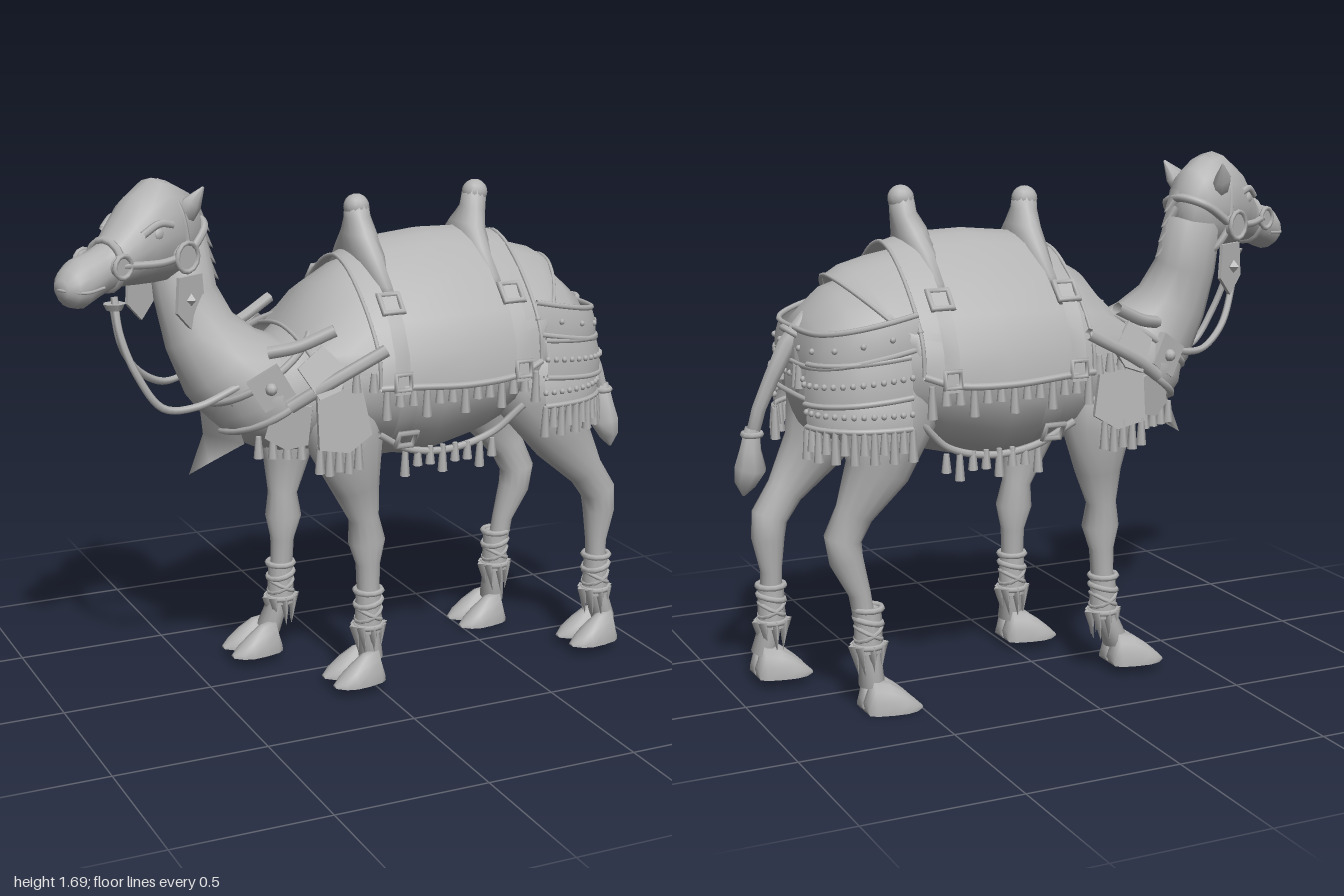
import * as THREE from 'three';

const V = (x, y, z) => new THREE.Vector3(x, y, z);
const SIDES = [1, -1];

export function createModel() {
  const grey = new THREE.MeshStandardMaterial({ color: 0xb3b3b3, side: THREE.DoubleSide });
  grey.name = 'stone grey';
  const root = new THREE.Group();
  root.name = 'saddledCamel';

  const group = (name, parent = root) => {
    const g = new THREE.Group();
    g.name = name;
    parent.add(g);
    return g;
  };
  const add = (name, geo, parent = root, pos = [0, 0, 0], rot = [0, 0, 0]) => {
    const m = new THREE.Mesh(geo, grey);
    m.name = name;
    m.position.set(...pos);
    m.rotation.set(...rot);
    parent.add(m);
    return m;
  };

  // Skin over rows of points; closed rows make a tube with capped ends
  function skin(rows, closed = false) {
    const n = rows[0].length, pts = rows.flat(), idx = [];
    for (let r = 0; r < rows.length - 1; r++)
      for (let i = 0; i < (closed ? n : n - 1); i++) {
        const a = r * n + i, b = r * n + ((i + 1) % n);
        idx.push(a, b, a + n, b, b + n, a + n);
      }
    if (closed) [0, rows.length - 1].forEach(r => {
      const c = pts.length;
      pts.push(rows[r].reduce((s, p) => s.add(p), V(0, 0, 0)).divideScalar(n));
      for (let i = 0; i < n; i++) {
        const a = r * n + i, b = r * n + ((i + 1) % n);
        idx.push(...(r ? [a, b, c] : [b, a, c]));
      }
    });
    const g = new THREE.BufferGeometry().setFromPoints(pts);
    g.setIndex(idx);
    g.computeVertexNormals();
    return g;
  }
  const ring = (c, u, v, ru, rv, n = 14) => Array.from({ length: n }, (_, i) => {
    const a = i / n * Math.PI * 2;
    return c.clone().addScaledVector(u, Math.cos(a) * ru).addScaledVector(v, Math.sin(a) * rv);
  });
  // Upright cross-sections along x: [x, bottom, top, halfWidth, zCentre], cut flat at the floor
  const hull = (secs, n = 20, floor = 0) => skin(secs.map(([x, b, t, w, z = 0]) =>
    ring(V(x, (b + t) / 2, z), V(0, 1, 0), V(0, 0, -1), (t - b) / 2, w, n)
      .map(p => p.setY(Math.max(p.y, floor)))), true);
  // Sections square to a path: [x, y, z, radius, sideRadius]
  function limb(secs, n = 14) {
    const p = secs.map(s => V(s[0], s[1], s[2]));
    return skin(secs.map((s, i) => {
      const t = p[Math.min(i + 1, p.length - 1)].clone().sub(p[Math.max(i - 1, 0)]).normalize();
      const u = V(0, 0, 1).cross(t).normalize(), v = t.clone().cross(u);
      return ring(p[i], u, v, s[3], s[4] ?? s[3], n);
    }), true);
  }
  // Cloth draped over the back: [x, top, halfWidth, hem, forward slant]
  const FOLD = [[0, 0], [.14, .025], [.28, .08], [.55, .26], [.82, .52], [.97, .75], [1, 1]];
  const PROFILE = [...FOLD.slice(1).reverse().map(([u, v]) => [-u, v]), ...FOLD];
  const drapeRow = ([x, t, w, b, s = 0]) => PROFILE.map(([u, v]) => V(x - s * v, t - (t - b) * v, u * w));
  const drape = secs => skin(secs.map(drapeRow));
  const cord = (pts, r, seg = 32) => new THREE.TubeGeometry(
    new THREE.CatmullRomCurve3(pts.map(p => p.isVector3 ? p : V(...p))), seg, r, 6);
  const tassel = (parent, x, y, z, h = .08) =>
    add('tassel', new THREE.CylinderGeometry(.009, .016, h, 6), parent, [x, y - h / 2, z]);

  // Body, neck and tail
  add('torso', hull([[-.5, .95, 1.06, .06], [-.41, .84, 1.13, .17], [-.28, .8, 1.15, .24],
    [-.15, .79, 1.26, .28], [0, .76, 1.36, .31], [.2, .73, 1.4, .32], [.4, .78, 1.4, .315],
    [.5, .83, 1.37, .3], [.6, .84, 1.35, .29], [.7, .84, 1.32, .265], [.78, .88, 1.25, .21], [.825, .98, 1.16, .1]]));
  add('neck', limb([[-.26, .97, 0, .18, .2], [-.36, 1.02, 0, .18, .18], [-.445, 1.1, -.01, .152, .145],
    [-.505, 1.2, -.03, .122, .112], [-.54, 1.32, -.055, .103, .094], [-.555, 1.48, -.08, .095, .085]]));
  add('tail', limb([[.76, 1.23, 0, .03], [.83, 1.15, 0, .032], [.88, 1.05, .01, .026],
    [.92, .95, .025, .023], [.94, .86, .04, .022]], 8));
  add('tailTuft', limb([[.94, .89, .035, .024], [.945, .82, .045, .035], [.945, .76, .05, .052],
    [.96, .71, .06, .035], [.965, .67, .065, .004]], 8));
  add('tailBand', new THREE.TorusGeometry(.028, .01, 6, 10), root, [.94, .87, .038], [1.57, 0, 0]);

  // Legs with ankle wraps and two-toed feet
  const legs = {
    frontLeftLeg: [.03, [[-.13, 1.02, .19, .13, .1], [-.1, .84, .195, .125, .095], [-.06, .69, .185, .08, .063], [-.03, .58, .18, .05, .045],
      [-.02, .5, .18, .062, .056], [-.015, .42, .18, .04, .04], [-.015, .22, .185, .034, .036], [-.01, .1, .19, .04, .05]]],
    frontRightLeg: [.03, [[-.15, 1.02, -.19, .13, .1], [-.14, .84, -.195, .12, .095], [-.15, .69, -.185, .078, .063], [-.165, .58, -.18, .05, .045],
      [-.165, .5, -.175, .062, .056], [-.17, .42, -.175, .04, .04], [-.175, .22, -.18, .034, .036], [-.22, .1, -.185, .04, .05]]],
    hindLeftLeg: [.03, [[.6, 1.08, .16, .19, .13], [.62, .92, .175, .165, .125], [.69, .77, .195, .105, .08], [.79, .64, .19, .063, .05],
      [.845, .56, .185, .06, .056], [.852, .49, .185, .054, .054], [.845, .38, .185, .035, .038], [.845, .22, .19, .034, .036], [.875, .1, .195, .04, .05]]],
    hindRightLeg: [0, [[.59, 1.08, -.16, .19, .13], [.58, .92, -.175, .165, .125], [.62, .77, -.195, .105, .08], [.69, .64, -.175, .063, .05],
      [.725, .56, -.165, .06, .056], [.715, .49, -.165, .054, .054], [.675, .38, -.17, .035, .038], [.65, .22, -.175, .034, .036], [.645, .08, -.185, .04, .05]]],
  };
  for (const [name, [ground, path]] of Object.entries(legs)) {
    const leg = group(name);
    add('legShape', limb(path), leg);
    const [fx, , fz] = path[path.length - 1];
    for (const s of SIDES)
      add('toe', hull([[.03, .035, .034, .024], [.01, .11, .045, .03], [-.04, .098, .05, .038], [-.085, .066, .05, .043],
        [-.12, .036, .038, .046], [-.148, .008, .014, .046]].map(([x, t, w, z]) =>
        [fx + x, ground - t, ground + t, w, fz + s * z]), 16, ground), leg);
    const [ax, , az] = path[path.length - 2];
    add('ankleWrap', new THREE.CylinderGeometry(.042, .046, .14, 10), leg, [ax, .26, az]);
    for (const y of [.33, .29, .21])
      add('wrapBand', new THREE.TorusGeometry(.044, .01, 6, 12), leg, [ax, y, az], [1.57, y === .29 ? .25 : 0, 0]);
    for (const s of SIDES)
      add('crossBand', new THREE.TorusGeometry(.047, .007, 5, 12), leg, [ax, .25, az], [1.57, s * .5, 0]);
    for (let i = 0; i < 8; i++) {
      const a = i * Math.PI / 4;
      const spike = add('fringe', new THREE.ConeGeometry(.019, .1, 4), leg,
        [ax + Math.cos(a) * .042, .165, az + Math.sin(a) * .042]);
      spike.rotation.set(Math.PI - Math.sin(a) * .15, 0, Math.cos(a) * .15);
    }
  }

  // Head, turned toward the model's left
  const head = group('head');
  head.position.set(-.55, 0, -.08);
  head.rotation.y = .45;
  const headSecs = [[.06, 1.44, 1.58, .05], [.02, 1.39, 1.64, .085], [-.05, 1.365, 1.675, .108], [-.11, 1.365, 1.69, .115],
    [-.19, 1.37, 1.645, .108], [-.25, 1.375, 1.585, .09], [-.31, 1.375, 1.52, .074], [-.36, 1.36, 1.5, .07],
    [-.43, 1.335, 1.485, .074], [-.465, 1.345, 1.46, .06], [-.49, 1.375, 1.43, .032]];
  add('skull', hull(headSecs, 16), head);
  add('noseBand', new THREE.TorusGeometry(.075, .013, 6, 16), head, [-.31, 1.45, 0], [0, 1.57, 0]);
  add('browBand', cord([[-.06, 1.45, .11], [-.08, 1.6, .09], [-.08, 1.675, 0], [-.08, 1.6, -.09], [-.06, 1.45, -.11]], .01), head);
  add('throatBand', cord([[-.07, 1.46, .11], [-.03, 1.38, .07], [-.01, 1.35, 0], [-.03, 1.38, -.07], [-.07, 1.46, -.11]], .012), head);
  add('pollBand', cord([[-.06, 1.46, .11], [.04, 1.53, .075], [.07, 1.55, 0], [.04, 1.53, -.075], [-.06, 1.46, -.11]], .014), head);
  add('lipLine', cord([[-.38, 1.4, .068], [-.45, 1.395, .066], [-.49, 1.4, 0], [-.45, 1.395, -.066], [-.38, 1.4, -.068]], .005), head);
  for (const s of SIDES) {
    add('ear', limb([[-.05, 1.57, s * .075, .04, .028], [-.03, 1.61, s * .095, .036, .025], [0, 1.66, s * .115, .004, .003]], 8), head);
    add('eye', new THREE.SphereGeometry(.02, 10, 8), head, [-.18, 1.535, s * .098]).scale.z = .6;
    add('browRidge', cord([[-.13, 1.56, s * .108], [-.18, 1.568, s * .102], [-.235, 1.54, s * .088]], .012), head);
    add('cheekStrap', cord([[-.31, 1.455, s * .078], [-.18, 1.45, s * .112], [-.08, 1.46, s * .112]], .012), head);
    for (const [x, z, r] of [[-.32, .078, .034], [-.085, .115, .045]]) {
      add('rosette', new THREE.CylinderGeometry(r, r, .02, 12), head, [x, 1.455, s * z], [1.57, 0, 0]);
      add('rosetteRim', new THREE.TorusGeometry(r, .008, 6, 12), head, [x, 1.455, s * (z + .01)]);
    }
    const tag = new THREE.Shape([[-.05, .07], [.05, .07], [.06, -.04], [0, -.1], [-.06, -.04]].map(p => new THREE.Vector2(...p)));
    add('cheekPendant', new THREE.ExtrudeGeometry(tag, { depth: .012, bevelEnabled: false }), head, [-.07, 1.325, s * .11]);
    add('pendantStud', new THREE.OctahedronGeometry(.022), head, [-.07, 1.32, s * .12]);
  }
  for (let i = 0; i < 4; i++)
    add('maneTuft', new THREE.ConeGeometry(.03, .08, 5), root, [-.47 + i * .006, 1.53 - i * .05, -.08 + i * .008], [0, 0, -2.4]);

  // Reins with a toggle at the bit
  const reins = group('reins');
  add('leftRein', cord([[-.82, 1.36, .1], [-.815, 1.25, .13], [-.77, 1.12, .15], [-.69, 1.01, .15], [-.58, 1.0, .14], [-.44, 1.05, .14]], .012), reins);
  add('rightRein', cord([[-.82, 1.34, .08], [-.79, 1.2, .06], [-.72, 1.1, 0], [-.62, 1.04, -.06], [-.52, 1.04, -.12], [-.4, 1.07, -.16]], .012), reins);
  add('toggle', new THREE.CylinderGeometry(.035, .025, .02, 8), reins, [-.82, 1.33, .1]);

  // Chest harness
  const chest = group('chestHarness');
  const along = V(.82, .57, 0), across = V(-.57, .82, 0);
  const collar = (off, ru, rv) => ring(V(-.31, 1.06, 0).addScaledVector(across, off), along, V(0, 0, 1), ru, rv, 24);
  const collarRows = [collar(-.05, .23, .27), collar(0, .235, .265), collar(.055, .215, .235)];
  collarRows.forEach(r => r.push(r[0].clone()));
  add('collarBand', skin(collarRows), chest);
  [0, 2].forEach(i => add('collarTrim', cord(collarRows[i], .012, 48), chest));
  add('chestPennant', skin([[V(-.47, 1.0, .16), V(-.52, .99, 0), V(-.47, 1.0, -.16)],
    [V(-.42, .86, .13), V(-.51, .87, 0), V(-.42, .86, -.13)], [V(-.5, .78, .03), V(-.56, .74, 0), V(-.5, .78, -.03)]]), chest);
  const panel = new THREE.Shape([[-.08, .09], [.07, .11], [.1, -.05], [.02, -.1], [-.08, -.08]].map(p => new THREE.Vector2(...p)));
  const plate = new THREE.ExtrudeGeometry(panel, { depth: .015, bevelEnabled: false });
  for (const s of SIDES) {
    add('collarPlate', new THREE.BoxGeometry(.11, .11, .025), chest, [-.37, 1.06, s * .235], [0, -s * .35, .55]);
    add('plateStud', new THREE.SphereGeometry(.02, 8, 6), chest, [-.375, 1.06, s * .25]);
    add('shoulderStrap', cord([[-.32, 1.0, s * .265], [-.2, 1.08, s * .315], [-.03, 1.17, s * .345]], .02), chest);
    add('upperShoulderStrap', cord([[-.36, 1.16, s * .19], [-.28, 1.18, s * .23], [-.17, 1.23, s * .27]], .02), chest);
    add('shoulderPanel', plate, chest, [-.17, .95, s * .31], [s * -.1, 0, 0]);
    add('upperPanel', plate, chest, [-.22, 1.1, s * .295], [s * -.3, -s * .2, .5]).scale.setScalar(.7);
    add('frontPanel', plate, chest, [-.32, .94, s * .255], [0, -s * .5, -.3]).scale.setScalar(.75);
    for (let i = 0; i < 5; i++) tassel(chest, -.24 + i * .033, .88 - (i % 2) * .01, s * .31, .09);
    for (let i = 0; i < 4; i++) tassel(chest, -.4 + i * .04, .9, s * (.2 + i * .02), .07);
  }

  // Saddle cloths
  const saddle = group('saddle');
  const frontSecs = [[-.24, 1.2, .27, 1.12], [-.14, 1.33, .31, 1.1], [-.04, 1.39, .34, 1.08], [.08, 1.42, .355, 1.08]];
  const rearSecs = [[.45, 1.43, .35, 1.1], [.56, 1.41, .33, 1.13, .04], [.65, 1.385, .32, 1.16, .11], [.7, 1.355, .31, 1.17, .17]];
  const mainSecs = [[-.05, 1.41, .35, 1.05], [.05, 1.46, .37, 1.05], [.25, 1.48, .38, 1.04], [.43, 1.475, .365, 1.05], [.52, 1.45, .345, 1.08]];
  add('frontCloth', drape(frontSecs), saddle);
  add('rearCloth', drape(rearSecs), saddle);
  add('mainCloth', drape(mainSecs), saddle);
  [frontSecs[0], rearSecs[3], mainSecs[0], mainSecs[4]].forEach(s => add('clothEdge', cord(drapeRow(s), .007, 40), saddle));

  // Saddle horns, straps and buckles
  for (const [x, top, lean] of [[.025, 1.6, .01], [.45, 1.62, -.035]]) {
    add('saddleHorn', limb([[x + lean, 1.26, 0, .03, .3], [x + lean, 1.34, 0, .045, .235], [x + lean, 1.42, 0, .055, .15],
      [x + lean * .7, 1.48, 0, .052, .085], [x + lean * .2, 1.53, 0, .042, .048], [x, top - .03, 0, .039, .039]]), saddle);
    add('hornKnob', new THREE.SphereGeometry(.042, 12, 10), saddle, [x, top - .04, 0]);
    for (const s of SIDES) {
      const bx = x < .2 ? .015 : .44;
      add('buckle', new THREE.TorusGeometry(.046, .012, 6, 4), saddle, [bx, 1.3, s * .28], [-s * .75, 0, Math.PI / 4]);
      add('strap', skin([[1.32, .265], [1.24, .325], [1.15, .366], [1.03, .377]].map(([y, z]) =>
        [V(bx - .025, y, s * z), V(bx + .025, y, s * z)])), saddle);
      add('lowBuckle', new THREE.TorusGeometry(.035, .01, 6, 4), saddle, [bx, 1.07, s * .375], [0, 0, Math.PI / 4]);
    }
  }

  // Hem trim, tassels and girth beneath the belly
  const girth = group('girth');
  for (const s of SIDES) {
    add('hemTrim', cord(mainSecs.map(([x, , w, b]) => [x, b, s * w]), .011), saddle);
    for (let i = 0; i < 13; i++) tassel(saddle, -.03 + i * .044, 1.05, s * (.35 + .02 * Math.sin(i / 12 * Math.PI)), i % 3 ? .06 : .1);
    for (let i = 0; i < 4; i++) tassel(saddle, -.22 + i * .05, 1.1, s * (.28 + i * .02), .06);
    add('bellyTrim', cord([[-.02, .88, s * .27], [.1, .81, s * .24], [.25, .79, s * .23], [.4, .83, s * .24], [.5, .92, s * .27]], .012), girth);
    for (let i = 0; i < 8; i++) tassel(girth, .09 + i * .045, .81, s * .235, i % 3 ? .06 : .09);
    add('girthBuckle', new THREE.TorusGeometry(.042, .01, 6, 4), girth, [.065, .86, s * .295], [s * .6, 0, Math.PI / 4]);
  }
  const girthRow = x => Array.from({ length: 21 }, (_, i) => {
    const a = Math.PI * i / 20;
    return V(x, 1.07 - Math.sin(a) * .325, Math.cos(a) * .33);
  });
  add('girthStrap', skin([girthRow(.035), girthRow(.095)]), girth);

  // Rump bands with fringe, following the hindquarters in plan
  const rump = group('rumpHarness');
  const plan = new THREE.CatmullRomCurve3([[.52, .315], [.63, .312], [.73, .28], [.805, .2], [.825, 0], [.805, -.2], [.73, -.28], [.63, -.312], [.52, -.315]]
    .map(([x, z]) => V(x, 0, z)));
  const band = (name, a, b, y0, y1, grow, rise = 0) => {
    // The bands climb toward the front of the hip
    const row = (y, k) => Array.from({ length: 25 }, (_, i) => {
      const p = plan.getPointAt(a + (b - a) * i / 24);
      return V(.55 + (p.x - .55) * k, y + rise * (.83 - p.x), p.z * k);
    });
    const rows = [row(y0, grow - .05), row((y0 + y1) / 2, grow), row(y1, grow)];
    add(name, skin(rows), rump);
    add(name + 'Edge', cord(rows[2], .009, 40), rump);
    add(name + 'TopEdge', cord(rows[0], .009, 40), rump);
    rows[1].forEach((p, i) => i % 2 || add('stud', new THREE.SphereGeometry(.01, 6, 5), rump, p.toArray()));
    return rows[2];
  };
  band('upperBand', 0, 1, 1.2, 1.1, 1, .2);
  band('rearBand', .28, .72, 1.12, 1.0, 1);
  for (const [a, b] of [[.03, .36], [.64, .97]]) {
    band('middleTier', a, b, 1.11, .99, 1.05, .1);
    band('lowerTier', a, b, 1.01, .92, 1.03).forEach((p, i) => i % 2 || tassel(rump, p.x, p.y, p.z, i % 4 ? .07 : .1));
  }
  for (const z of [.1, .07, -.07, -.1]) tassel(rump, .83, 1.1, z, .07);
  add('tailRing', new THREE.TorusGeometry(.04, .011, 6, 12), rump, [.81, 1.18, 0], [1.57, .6, 0]);

  return root;
}
